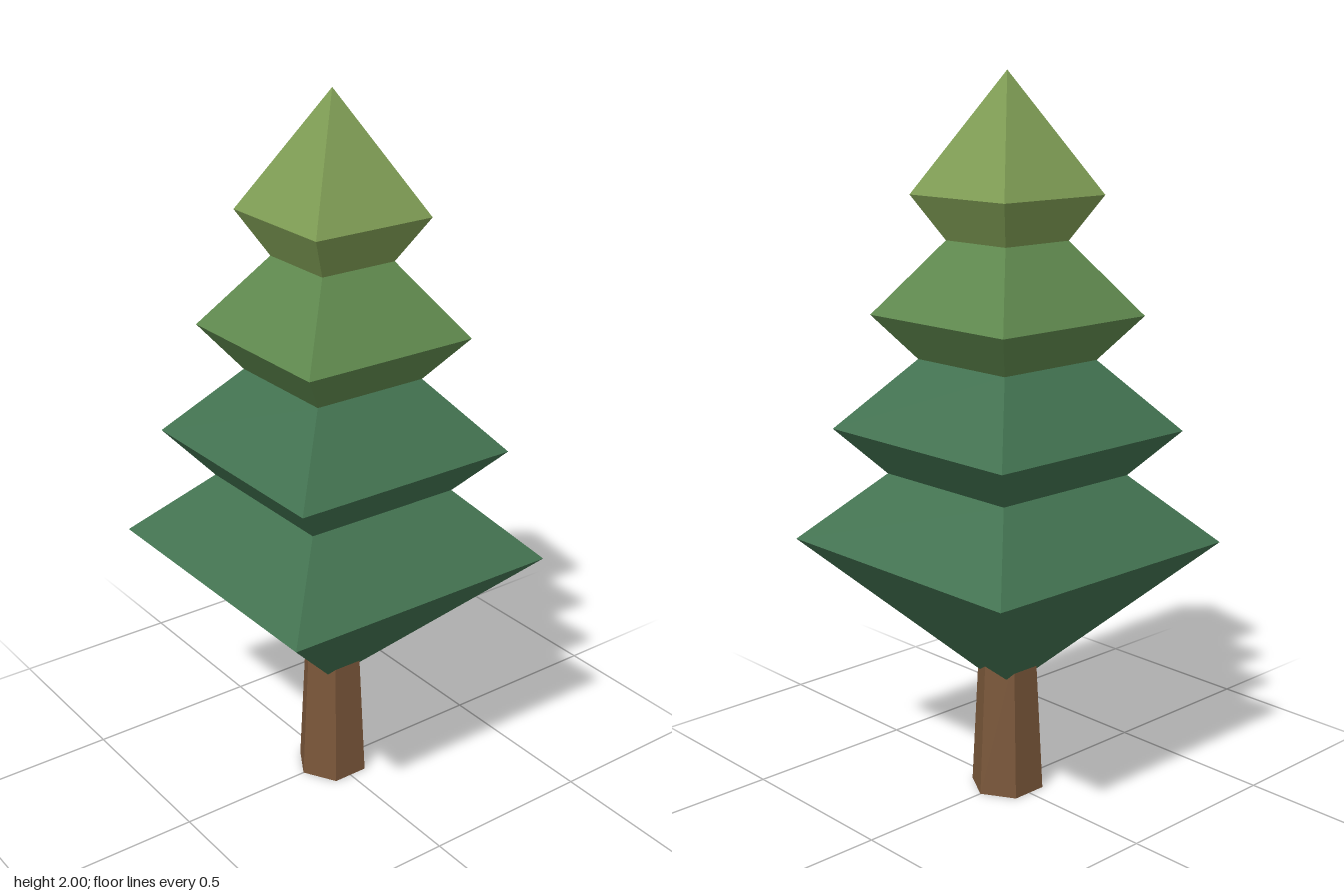
import * as THREE from 'three';
import { mergeGeometries } from 'three/addons/utils/BufferGeometryUtils.js';

function makeMaterial(name, color) {
  const material = new THREE.MeshStandardMaterial({ color });
  material.name = name;
  return material;
}

// Gives every face its own flat normal
function faceted(geometry) {
  const flat = geometry.toNonIndexed();
  flat.computeVertexNormals();
  return flat;
}

// Square frustum between two heights; r0 and r1 are half widths
function squareFrustum(y0, r0, y1, r1) {
  const g = new THREE.CylinderGeometry(
    r1 * Math.SQRT2, r0 * Math.SQRT2, y1 - y0, 4, 1, true, Math.PI / 4);
  g.translate(0, (y0 + y1) / 2, 0);
  return faceted(g);
}

export function createModel() {
  const tree = new THREE.Group();
  tree.name = 'pineTree';

  const bark = makeMaterial('bark brown', 0x7a573a);
  const darkGreen = makeMaterial('dark green', 0x427250);
  const midGreen = makeMaterial('mid green', 0x5f894e);
  const lightGreen = makeMaterial('light green', 0x809e55);

  // Tapered six-sided trunk with corners on the x axis
  const trunkHeight = 0.42;
  const trunkShape = new THREE.CylinderGeometry(0.083, 0.105, trunkHeight, 6, 1, false, Math.PI / 2);
  trunkShape.translate(0, trunkHeight / 2, 0);
  const trunk = new THREE.Mesh(faceted(trunkShape), bark);
  trunk.name = 'trunk';
  tree.add(trunk);

  // Foliage tiers: [height, half width] at the bottom, the rim and the top
  const tiers = [
    ['lowestTier', darkGreen, [0.29, 0], [0.73, 0.415], [0.92, 0.232]],
    ['lowerMiddleTier', darkGreen, [0.92, 0.232], [1.045, 0.337], [1.24, 0.17]],
    ['upperMiddleTier', midGreen, [1.24, 0.17], [1.36, 0.26], [1.56, 0.115]],
    ['topTier', lightGreen, [1.56, 0.115], [1.68, 0.182], [2, 0]],
  ];
  for (const [name, material, bottom, rim, top] of tiers) {
    const tier = new THREE.Mesh(
      mergeGeometries([squareFrustum(...bottom, ...rim), squareFrustum(...rim, ...top)]), material);
    tier.name = name;
    tree.add(tier);
  }

  return tree;
}
